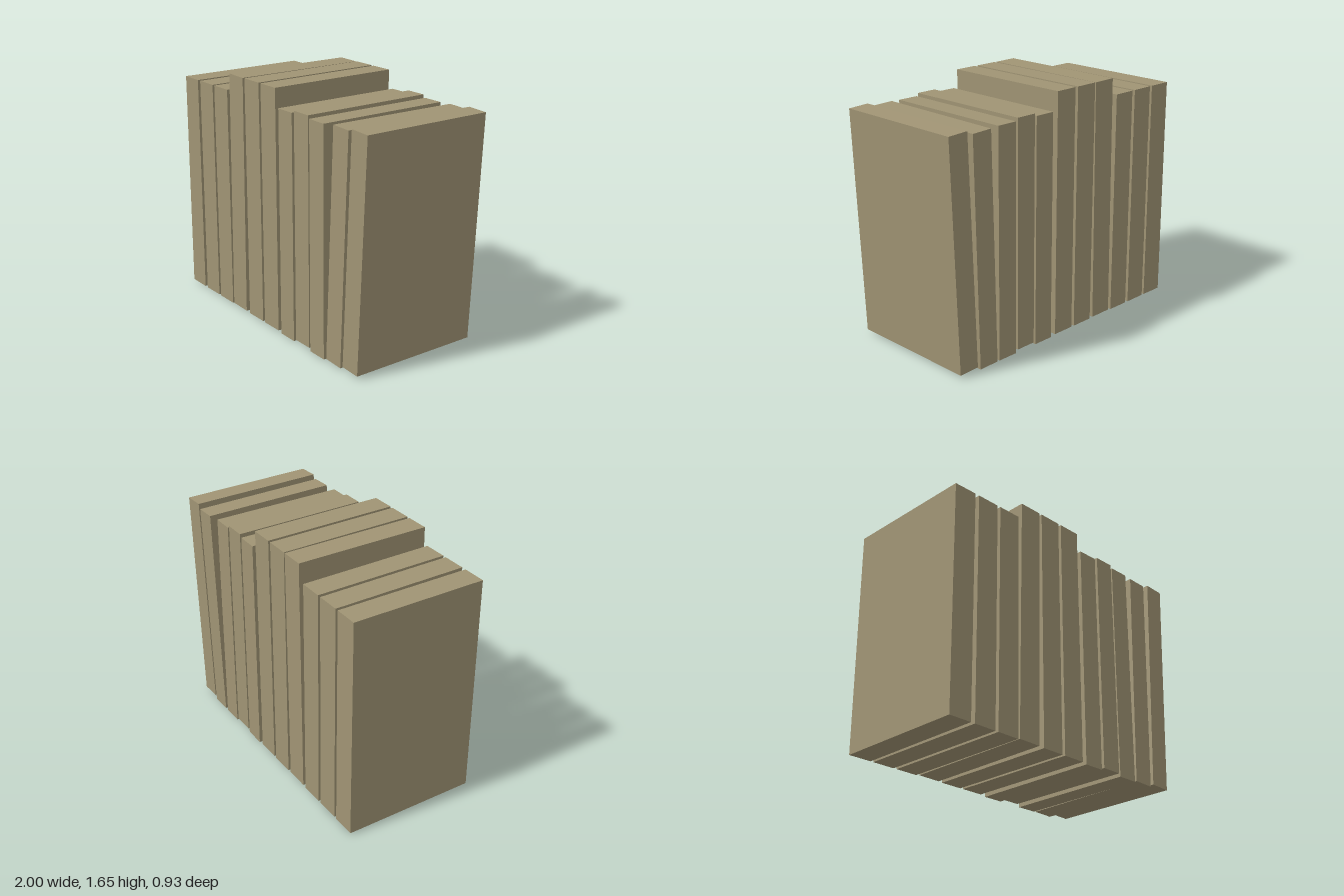
import * as THREE from 'three';

export function createModel() {
  const group = new THREE.Group();
  group.name = 'bookRow';
  const cover = new THREE.MeshStandardMaterial({ color: 0xa09474 });
  cover.name = 'tan cover';

  // each book: centre x, thickness, bottom y, top y, lean (z), yaw (y), pitch (x), centre z
  const books = [
    [-0.917, 0.162, 0.015, 1.535, 0, -0.004],
    [-0.730, 0.160, 0.015, 1.535, 0, 0.006],
    [-0.546, 0.160, 0.015, 1.535, 0, 0.005],
    [-0.355, 0.162, 0.019, 1.649, -0.012, -0.008],
    [-0.169, 0.161, 0.015, 1.649, 0, 0.005],
    [0.015, 0.160, 0.015, 1.649, 0, 0.005],
    [0.204, 0.144, 0.007, 1.527, 0, -0.004],
    [0.368, 0.144, 0.025, 1.545, 0, 0.004],
    [0.527, 0.144, 0.006, 1.526, 0, -0.003],
    [0.718, 0.144, 0.010, 1.528, -0.034, -0.003, -0.008, -0.007],
    [0.892, 0.143, 0.027, 1.543, -0.043, 0.002, -0.004, -0.002],
  ];

  books.forEach(([x, width, y0, y1, lean, yaw, pitch = 0, z = 0.002], i) => {
    const book = new THREE.Mesh(new THREE.BoxGeometry(width, y1 - y0, 0.914), cover);
    book.name = `book${i + 1}`;
    book.position.set(x, (y0 + y1) / 2, z);
    book.rotation.set(pitch, yaw, lean);
    group.add(book);
  });

  return group;
}
